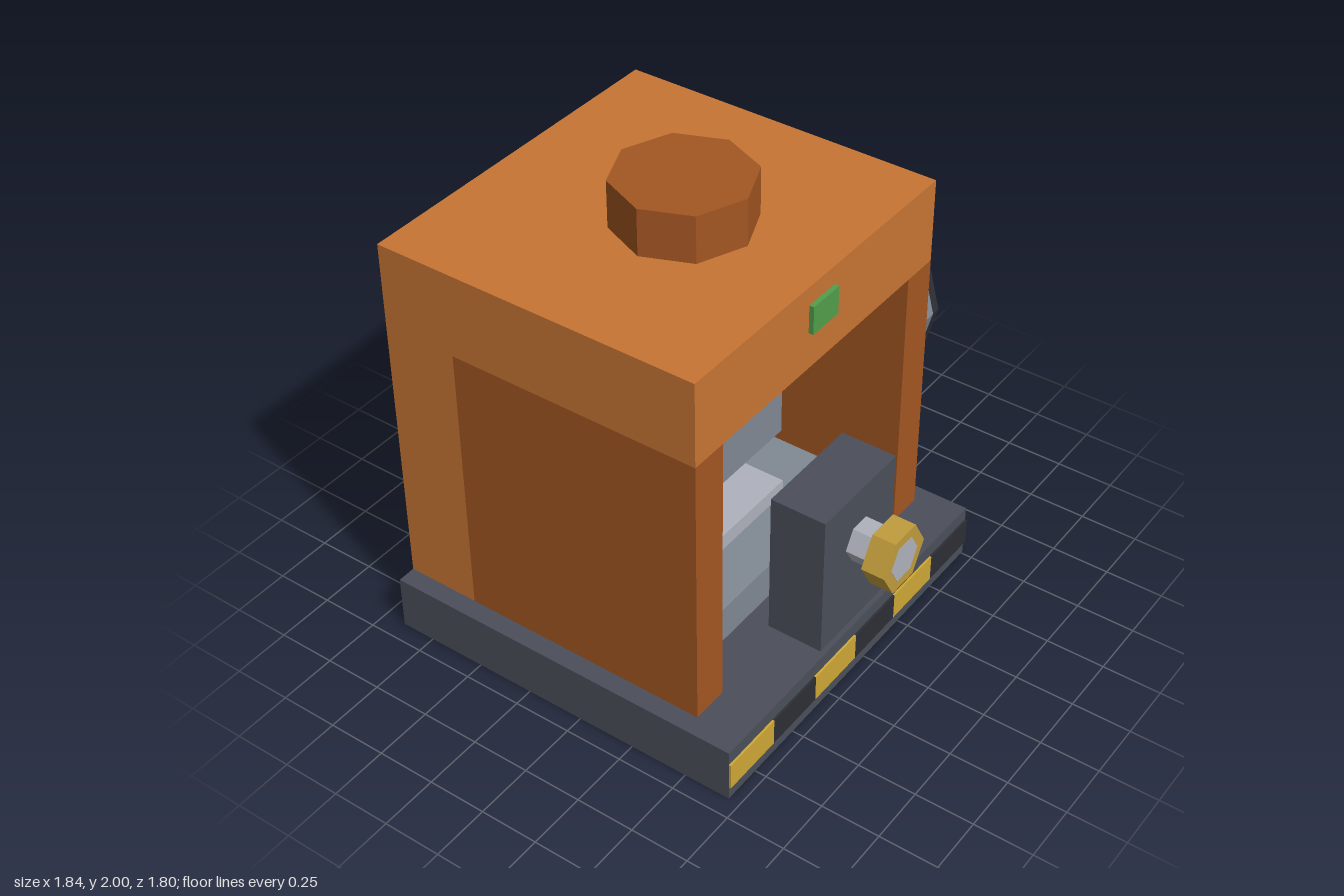
import * as THREE from 'three';

const mat = (name, color) => {
  const m = new THREE.MeshStandardMaterial({ color });
  m.name = name;
  return m;
};

export function createModel() {
  const orange = mat('orange paint', 0xc87434);
  const rust = mat('dark orange paint', 0xa35622);
  const dark = mat('dark steel', 0x4b4f5a);
  const black = mat('black', 0x2e2e36);
  const grey = mat('grey steel', 0x808994);
  const silver = mat('silver', 0xafb2bd);
  const yellow = mat('warning yellow', 0xcfa836);
  const brass = mat('brass', 0xc09c3c);
  const green = mat('green lamp', 0x529e4c);

  const model = new THREE.Group();
  model.name = 'press';
  const CX = -0.08, CZ = -0.1; // centre line of the machine

  const add = (name, geometry, material) => {
    const mesh = new THREE.Mesh(geometry, material);
    mesh.name = name;
    model.add(mesh);
    return mesh;
  };

  // Box from its limits on each axis
  const box = (name, material, [x0, x1], [y0, y1], [z0, z1]) =>
    add(name, new THREE.BoxGeometry(x1 - x0, y1 - y0, z1 - z0), material)
      .position.set((x0 + x1) / 2, (y0 + y1) / 2, (z0 + z1) / 2);

  // Faceted prism along an axis, from a to b on that axis
  const prism = (name, material, axis, sides, r, a, b, centre) => {
    const start = axis === 'z' ? Math.PI / sides : 0;
    const g = new THREE.CylinderGeometry(r, r, b - a, sides, 1, false, start).toNonIndexed();
    g.computeVertexNormals();
    if (axis === 'x') g.rotateZ(-Math.PI / 2);
    if (axis === 'z') g.rotateX(Math.PI / 2);
    const mesh = add(name, g, material);
    mesh.position.set(...centre);
    mesh.position[axis] = (a + b) / 2;
  };

  // Base with warning stripes on its front
  box('base', dark, [-0.92, 0.76], [0, 0.24], [-0.9, 0.7]);
  for (let i = 0; i < 6; i++) {
    const x = -0.92 + i * 0.28;
    box('warningStripe', i % 2 ? black : yellow, [x, x + 0.28], [0.06, 0.18], [0.7, 0.709]);
  }

  // Frame: back wall, two side walls and the head
  box('backWall', orange, [-0.84, 0.68], [0.24, 1.44], [-0.9, -0.58]);
  for (const s of [-1, 1]) {
    const x = CX + s * 0.68;
    box('sideWall', rust, [x - 0.08, x + 0.08], [0.24, 1.44], [-0.58, 0.5]);
  }
  box('head', orange, [-0.84, 0.68], [1.44, 1.8], [-0.9, 0.5]);
  prism('topCap', rust, 'y', 8, 0.28, 1.8, 2, [CX, 0, CZ]);
  box('lamp', green, [-0.16, 0], [1.6, 1.72], [0.5, 0.52]);

  // Ram and bed
  box('ram', silver, [-0.28, 0.12], [0.96, 1.44], [-0.26, 0.06]);
  box('ramHead', grey, [-0.38, 0.22], [0.74, 0.96], [-0.34, 0.14]);
  box('dieBlock', silver, [-0.4, 0.24], [0.4, 0.47], [-0.34, 0.14]);
  box('bed', grey, [-0.68, 0.52], [0.24, 0.4], [-0.54, 0.34]);

  // Front block with hexagonal spindle and nut
  box('frontBlock', dark, [-0.32, 0.16], [0.28, 0.92], [0.46, 0.7]);
  prism('spindle', silver, 'z', 6, 0.09, 0.7, 0.902, [CX, 0.68, 0]);
  prism('nut', brass, 'z', 6, 0.14, 0.8, 0.9, [CX, 0.68, 0]);

  // Flywheel on the left wall
  prism('flywheelRim', grey, 'x', 12, 0.56, 0.68, 0.8, [0, 1.1, CZ]);
  prism('flywheelFace', black, 'x', 12, 0.56, 0.8, 0.84, [0, 1.1, CZ]);
  prism('flywheelHub', brass, 'x', 8, 0.16, 0.84, 0.92, [0, 1.1, CZ]);

  return model;
}
